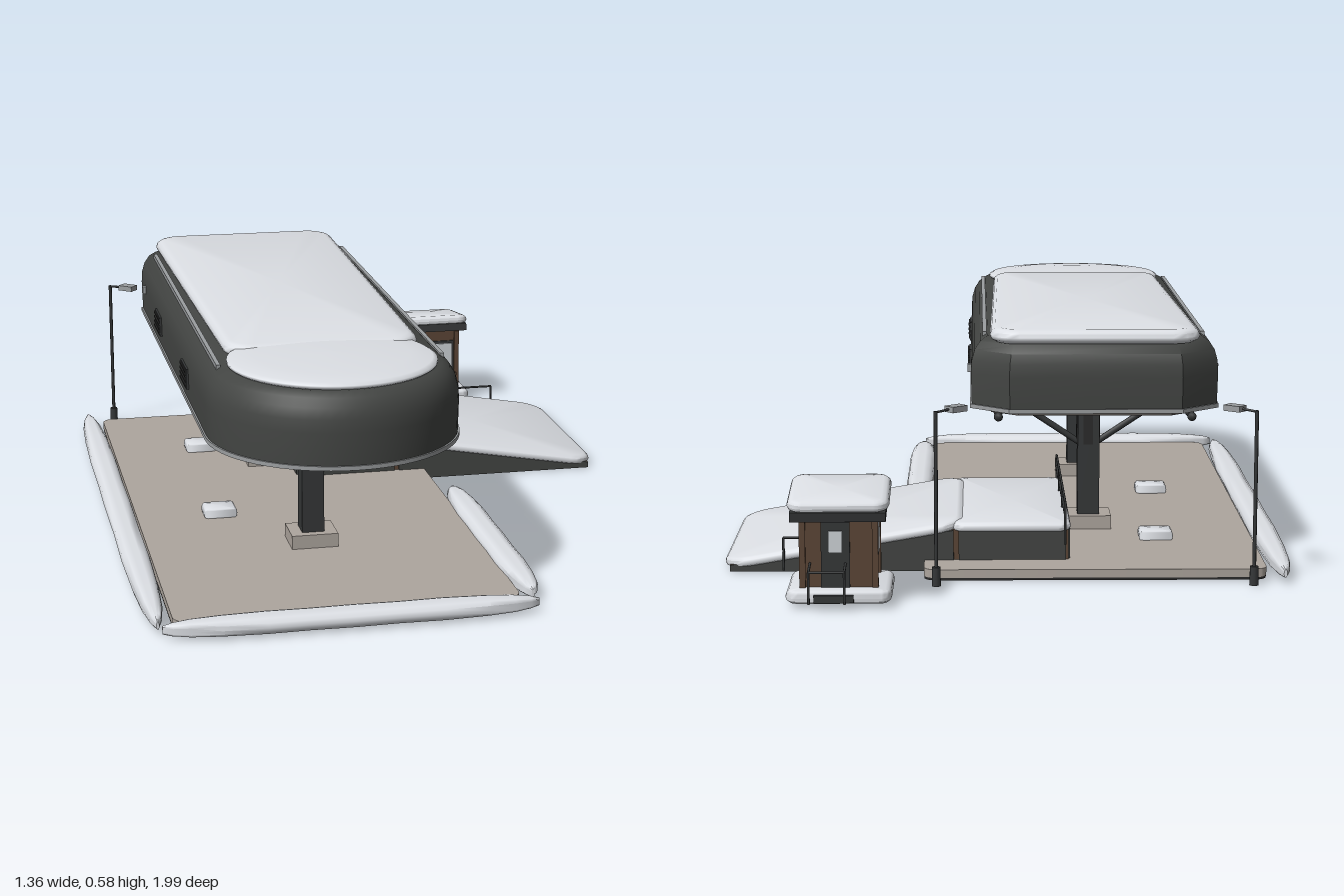
import * as THREE from 'three';
import { toCreasedNormals } from 'three/addons/utils/BufferGeometryUtils.js';

const mat = (name, color) => {
  const m = new THREE.MeshStandardMaterial({ color });
  m.name = name;
  return m;
};

export function createModel() {
  const M = {
    snow: mat('snow', 0xdcdfe4), concrete: mat('concrete', 0xaea69e), asphalt: mat('asphalt', 0x2a2a2a),
    body: mat('dark cladding', 0x434543), steel: mat('dark steel', 0x353738), under: mat('soffit', 0x57534f),
    wood: mat('brown timber', 0x5c4636), glass: mat('pale glass', 0xcfd4d8), trim: mat('grey trim', 0x9b9ea0),
  };
  const root = new THREE.Group();

  // ---------- helpers ----------
  const add = (name, geo, m, x = 0, y = 0, z = 0, parent = root) => {
    const mesh = new THREE.Mesh(geo, m);
    mesh.name = name;
    mesh.position.set(x, y, z);
    parent.add(mesh);
    return mesh;
  };
  const group = (name) => {
    const g = new THREE.Group();
    g.name = name;
    root.add(g);
    return g;
  };
  // box given by its extents
  const box = (name, m, x0, x1, y0, y1, z0, z1, parent) =>
    add(name, new THREE.BoxGeometry(x1 - x0, y1 - y0, z1 - z0), m, (x0 + x1) / 2, (y0 + y1) / 2, (z0 + z1) / 2, parent);
  // round bar between two points
  const bar = (name, m, a, b, r, parent, sides = 8) => {
    const p = new THREE.Vector3(...a), q = new THREE.Vector3(...b);
    const mesh = add(name, new THREE.CylinderGeometry(r, r, p.distanceTo(q), sides), m, 0, 0, 0, parent);
    mesh.position.copy(p).add(q).multiplyScalar(0.5);
    mesh.quaternion.setFromUnitVectors(new THREE.Vector3(0, 1, 0), q.sub(p).normalize());
    return mesh;
  };
  // closed solid through stacked rings of [x, y, z], counterclockwise from above
  const loft = (rings, crease = 0.7) => {
    const n = rings[0].length, pos = rings.flat(2), idx = [];
    const centre = (r) => [0, 1, 2].map((k) => r.reduce((s, p) => s + p[k], 0) / n);
    const last = rings.length - 1, lo = rings.length * n, hi = lo + 1;
    pos.push(...centre(rings[0]), ...centre(rings[last]));
    for (let j = 0; j < n; j++) {
      const k = (j + 1) % n;
      for (let i = 0; i < last; i++) {
        const a = i * n + j, b = i * n + k;
        idx.push(a, b, b + n, a, b + n, a + n);
      }
      idx.push(lo, k, j, hi, last * n + j, last * n + k);
    }
    const g = new THREE.BufferGeometry();
    g.setAttribute('position', new THREE.Float32BufferAttribute(pos, 3));
    g.setIndex(idx);
    return toCreasedNormals(g, crease);
  };
  // rounded rectangle ring
  const rectRing = (w, d, r, inset, y) => {
    const ring = [];
    for (let q = 0; q < 4; q++) {
      const sx = q === 0 || q === 3 ? 1 : -1, sz = q < 2 ? -1 : 1;
      for (let i = 0; i <= 6; i++) {
        const a = (q + i / 6) * Math.PI / 2;
        ring.push([sx * (w / 2 - r) + Math.cos(a) * (r - inset), y, sz * (d / 2 - r) - Math.sin(a) * (r - inset)]);
      }
    }
    return ring;
  };
  // soft slab of snow, centred, with rounded edges
  const pillow = (w, d, h, r) => loft([[0.35, 0], [0.08, 0.2], [0, 0.45], [0.08, 0.72], [0.25, 0.9], [0.5, 1]]
    .map(([s, t]) => rectRing(w, d, r, s * Math.min(r, h * 1.4), (t - 0.5) * h)), 1.2);

  // ---------- ground ----------
  const plate = (h, inset) => loft([rectRing(0.81, 1.62, 0.03, inset, -h / 2), rectRing(0.81, 1.62, 0.03, inset, h / 2)]);
  add('groundBase', plate(0.006, 0.001), M.asphalt, -0.205, 0.033, 0.09);
  add('groundSlab', plate(0.02, 0), M.concrete, -0.205, 0.046, 0.09);
  for (const [x, z] of [[-0.4, 0.18], [-0.37, -0.385]])
    add('snowyCover', pillow(0.085, 0.075, 0.025, 0.012), M.snow, x, 0.066, z);

  // ---------- snow banks: tapered spindles ----------
  const bank = (length, width) => {
    const sizes = [0.12, 0.45, 0.72, 0.9, 1, 0.96, 1, 0.95, 1, 0.88, 0.7, 0.42, 0.1];
    const stations = [0, 0.025, 0.07, 0.15, 0.27, 0.38, 0.5, 0.62, 0.74, 0.86, 0.93, 0.975, 1];
    return loft(sizes.map((s, i) => Array.from({ length: 14 }, (_, j) => {
      const a = j / 14 * Math.PI * 2;
      return [Math.cos(a) * s * width / 2, (stations[i] - 0.5) * length, -Math.sin(a) * (0.008 + 0.016 * s)];
    })), 1.2).rotateX(Math.PI / 2);
  };
  add('leftBank', bank(1.67, 0.07), M.snow, -0.647, 0.054, 0.075);
  add('rightBank', bank(0.78, 0.075), M.snow, 0.232, 0.054, 0.493);
  add('frontBank', bank(0.87, 0.075).rotateY(Math.PI / 2), M.snow, -0.205, 0.054, 0.937);

  // ---------- elevated hall: round front, chamfered back ----------
  const CX = -0.207, CZ = 0.69;
  const hallRing = (inset, y) => {
    const R = 0.297 - inset, b = 0.205 - inset * 0.45, zb = -0.65 + inset, zc = -0.565 + inset * 0.4;
    const ring = [[CX + R, y, zc], [CX + b, y, zb], [CX - b, y, zb], [CX - R, y, zc]];
    for (let i = 0; i <= 32; i++) {
      const a = Math.PI * (1 + i / 32);
      ring.push([CX + Math.cos(a) * R, y, CZ - Math.sin(a) * R]);
    }
    return ring;
  };
  const hall = group('hall');
  add('hallBody', loft([[0.004, 0.424], [0.002, 0.5], [0.004, 0.53], [0.011, 0.555], [0.024, 0.575], [0.042, 0.587]]
    .map((p) => hallRing(...p))), M.body, 0, 0, 0, hall);
  add('hallSill', loft([hallRing(0, 0.415), hallRing(0, 0.425)]), M.trim, 0, 0, 0, hall);
  add('hallSoffit', loft([hallRing(0.05, 0.402), hallRing(0.05, 0.416)]), M.under, 0, 0, 0, hall);
  for (const s of [-1, 1]) {
    box('roofStrip', M.trim, CX + s * 0.262 - 0.005, CX + s * 0.262 + 0.005, 0.57, 0.59, -0.5, 0.69, hall);
    for (const z of [0.355, -0.165]) {
      box('sideVent', M.steel, CX + s * 0.297 - 0.003, CX + s * 0.297 + 0.003, 0.455, 0.505, z - 0.052, z + 0.052, hall);
      for (let i = 0; i < 4; i++)
        box('ventSlat', M.asphalt, CX + s * 0.3 - 0.003, CX + s * 0.3 + 0.003, 0.46 + i * 0.012, 0.465 + i * 0.012, z - 0.048, z + 0.048, hall);
    }
    box('wallLamp', M.trim, CX + s * 0.298 - 0.006, CX + s * 0.298 + 0.006, 0.488, 0.508, -0.48, -0.46, hall);
    for (let i = 0; i < 20; i++)
      add('soffitLamp', new THREE.SphereGeometry(0.011, 8, 6), M.steel, CX + s * 0.23, 0.4, 0.63 - i * 0.065, hall);
  }
  // fan of ribs under the rounded front
  for (let i = 0; i <= 12; i++) {
    const a = Math.PI * i / 12, c = Math.cos(a), s = Math.sin(a);
    bar('soffitRib', M.steel, [CX + c * 0.06, 0.401, CZ + s * 0.06], [CX + c * 0.24, 0.401, CZ + s * 0.24], 0.005, hall, 6);
  }

  // ---------- roof snow ----------
  const roofSnow = pillow(0.5, 1.27, 0.034, 0.07);
  const rp = roofSnow.attributes.position;
  for (let i = 0; i < rp.count; i++) // narrows toward the rounded front
    if (rp.getZ(i) > 0.5) rp.setX(i, rp.getX(i) * 0.93);
  add('roofSnow', roofSnow, M.snow, CX, 0.595, -0.012, hall);
  const drift = [[0.232, 0], [0.243, 0.008], [0.243, 0.014], [0.232, 0.02], [0.18, 0.025], [0.09, 0.029], [0, 0.03]]
    .map((p) => new THREE.Vector2(...p));
  add('frontDrift', new THREE.LatheGeometry(drift, 48), M.snow, CX, 0.582, 0.7, hall);

  // ---------- columns ----------
  for (const z of [0.434, -0.241]) {
    const g = group('column');
    box('footing', M.concrete, -0.265, -0.15, 0.05, 0.09, z - 0.05, z + 0.05, g);
    box('shaft', M.steel, -0.236, -0.181, 0.09, 0.4, z - 0.028, z + 0.028, g);
    box('crossbeam', M.steel, -0.427, 0.013, 0.374, 0.402, z - 0.026, z + 0.026, g);
    for (const s of [-1, 1]) {
      bar('strut', M.steel, [CX + s * 0.02, 0.27, z], [CX + s * 0.18, 0.376, z], 0.008, g);
      box('shaftInset', M.asphalt, CX - 0.012, CX + 0.012, 0.27, 0.35, z + s * 0.028 - 0.002, z + s * 0.028 + 0.002, g);
      box('shaftSideInset', M.asphalt, CX - 0.0015 + s * 0.028 - 0.002, CX - 0.0015 + s * 0.028 + 0.002, 0.27, 0.35, z - 0.008, z + 0.008, g);
    }
  }

  // ---------- platform and ramp ----------
  const deck = group('platform');
  box('platformCore', M.wood, -0.145, 0.13, 0.029, 0.13, -0.615, -0.085, deck);
  const wedge = new THREE.Shape([[0.13, 0.029], [0.665, 0.029], [0.665, 0.044], [0.13, 0.128]].map((p) => new THREE.Vector2(...p)));
  const wedgeGeo = (depth) => new THREE.ExtrudeGeometry(wedge, { depth, bevelEnabled: false });
  add('rampCore', wedgeGeo(0.53), M.wood, 0, 0, -0.615, deck);
  for (const z of [-0.621, -0.085]) {
    add('rampFascia', wedgeGeo(0.006), M.body, 0, 0, z, deck);
    box('platformFascia', M.body, -0.138, 0.118, 0.032, 0.13, z, z + 0.006, deck);
  }
  box('platformSideFascia', M.body, -0.149, -0.143, 0.032, 0.13, -0.605, -0.095, deck);
  add('platformSnow', pillow(0.285, 0.56, 0.024, 0.03), M.snow, -0.008, 0.136, -0.35, deck);
  add('rampSnow', pillow(0.585, 0.565, 0.024, 0.07), M.snow, 0.393, 0.093, -0.35, deck).rotation.z = -Math.atan2(0.095, 0.55);

  // platform guard rail
  const rail = group('guardRail');
  for (const y of [0.172, 0.202]) bar('railBar', M.steel, [-0.135, y, -0.06], [-0.135, y, -0.65], 0.003, rail);
  for (const z of [-0.06, -0.257, -0.453, -0.65]) bar('railPost', M.steel, [-0.135, 0.1, z], [-0.135, 0.202, z], 0.003, rail);
  // short rail beside the ramp
  const rampRail = group('rampRail');
  bar('railBar', M.steel, [0.36, 0.115, -0.635], [0.535, 0.115, -0.635], 0.003, rampRail);
  for (const x of [0.36, 0.535]) bar('railPost', M.steel, [x, 0.035, -0.635], [x, 0.115, -0.635], 0.003, rampRail);

  // ---------- lamp posts ----------
  for (const s of [-1, 1]) {
    const g = group('lampPost');
    const x = -0.201 + s * 0.37, z = -0.772;
    add('lampBase', new THREE.CylinderGeometry(0.01, 0.011, 0.045, 10), M.steel, x, 0.053, z, g);
    bar('lampPole', M.steel, [x, 0.05, z], [x, 0.443, z], 0.0045, g);
    bar('lampArm', M.steel, [x, 0.44, z], [x - s * 0.04, 0.444, z + 0.032], 0.003, g);
    add('lampHead', new THREE.BoxGeometry(0.044, 0.014, 0.03), M.trim, x - s * 0.047, 0.443, z + 0.037, g).rotation.y = s * 0.7;
  }

  // ---------- ticket booth ----------
  const booth = group('booth');
  add('boothSnowBase', pillow(0.24, 0.225, 0.03, 0.03), M.snow, 0.385, 0.055, -0.868, booth);
  box('boothWalls', M.wood, 0.303, 0.467, 0.05, 0.25, -0.935, -0.792, booth);
  for (const x of [0.303, 0.467]) for (const z of [-0.935, -0.792])
    box('cornerPost', M.wood, x - 0.007, x + 0.007, 0.05, 0.25, z - 0.007, z + 0.007, booth);
  box('frontFrame', M.steel, 0.311, 0.459, 0.123, 0.22, -0.793, -0.788, booth);
  for (const x of [0.318, 0.388]) box('frontPane', M.glass, x, x + 0.064, 0.132, 0.212, -0.79, -0.785, booth);
  box('counter', M.wood, 0.305, 0.465, 0.115, 0.123, -0.793, -0.775, booth);
  for (const x of [0.303, 0.467]) {
    box('sideFrame', M.steel, x - 0.003, x + 0.003, 0.122, 0.222, -0.888, -0.798, booth);
    box('sidePane', M.glass, x - 0.005, x + 0.005, 0.13, 0.214, -0.878, -0.806, booth);
  }
  box('door', M.steel, 0.36, 0.425, 0.07, 0.22, -0.94, -0.934, booth);
  box('doorPane', M.glass, 0.377, 0.408, 0.15, 0.2, -0.943, -0.938, booth);
  box('doorStep', M.steel, 0.35, 0.44, 0.045, 0.062, -0.985, -0.93, booth);
  const roof = new THREE.Group();
  roof.name = 'boothRoof';
  roof.position.set(0.385, 0.252, -0.87);
  roof.rotation.x = -0.14;
  booth.add(roof);
  add('roofBoard', new THREE.BoxGeometry(0.215, 0.022, 0.205), M.steel, 0, 0, 0, roof);
  add('boothRoofSnow', pillow(0.23, 0.215, 0.026, 0.035), M.snow, 0, 0.022, 0, roof);
  // handrail behind the booth
  bar('railBar', M.steel, [0.37, 0.118, -0.996], [0.45, 0.118, -0.996], 0.003, booth);
  for (const x of [0.37, 0.45]) {
    bar('railPost', M.steel, [x, 0.045, -0.996], [x, 0.118, -0.996], 0.003, booth);
    bar('railReturn', M.steel, [x, 0.118, -0.996], [x, 0.125, -0.937], 0.003, booth);
  }
  return root;
}
